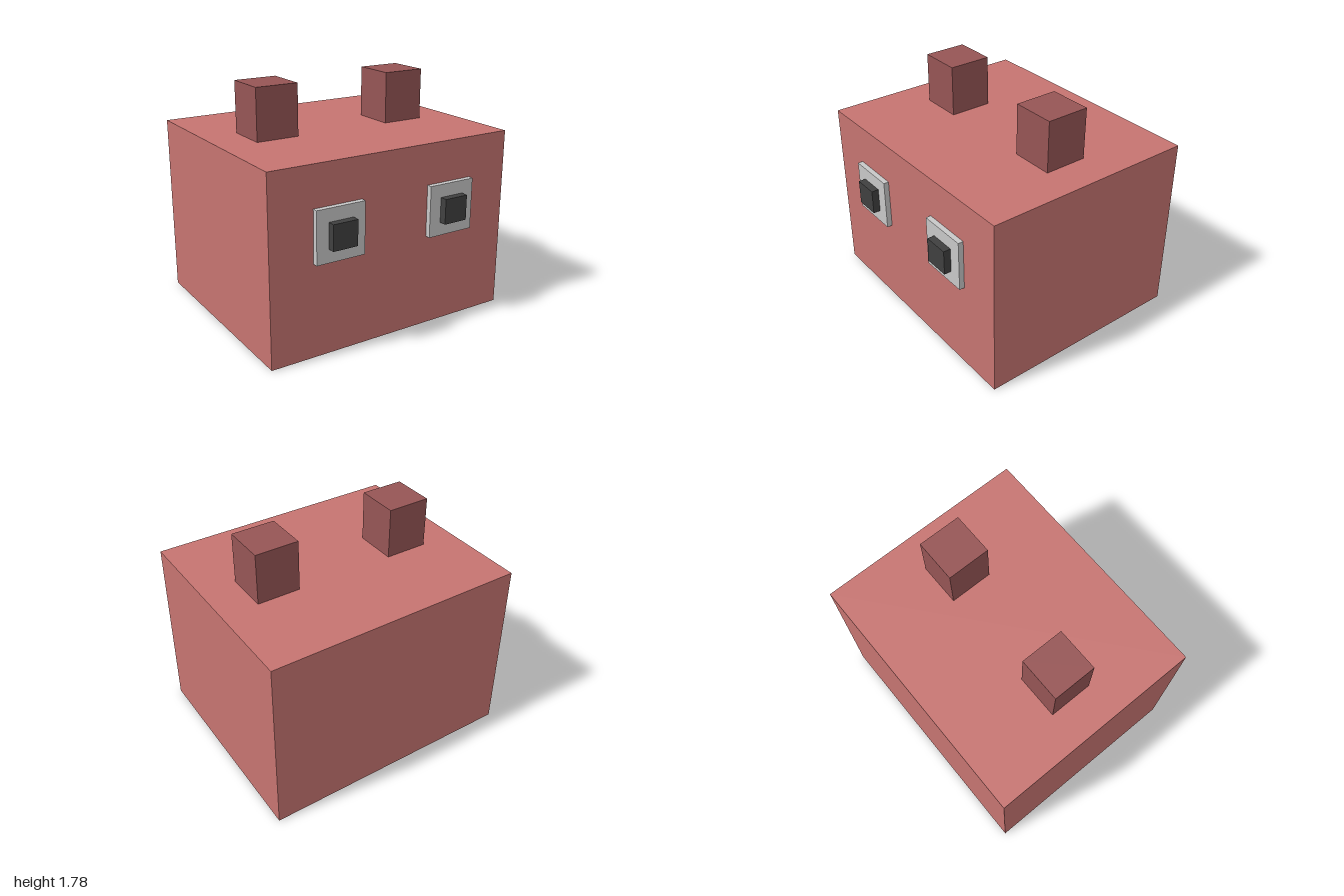
import * as THREE from 'three';

const material = (name, color) => {
  const m = new THREE.MeshStandardMaterial({ color });
  m.name = name;
  return m;
};

// Box given by its minimum and maximum on each axis
function box(name, mat, [x0, x1], [y0, y1], [z0, z1]) {
  const mesh = new THREE.Mesh(new THREE.BoxGeometry(x1 - x0, y1 - y0, z1 - z0), mat);
  mesh.position.set((x0 + x1) / 2, (y0 + y1) / 2, (z0 + z1) / 2);
  mesh.name = name;
  return mesh;
}

export function createModel() {
  const red = material('soft red', 0xc67471);
  const darkRed = material('dark red', 0x965555);
  const white = material('eye grey', 0xc8c8c8);
  const black = material('pupil charcoal', 0x404040);

  const model = new THREE.Group();
  model.name = 'blockCreature';
  model.add(box('body', red, [-1, 1], [0, 1.39], [-0.88, 0.785]));

  // Ears and eyes, mirrored on both sides
  for (const [side, s] of [['left', 1], ['right', -1]]) {
    const span = (center, width) => [s * center - width / 2, s * center + width / 2];
    model.add(
      box(`${side}Ear`, darkRed, span(0.553, 0.333), [1.39, 1.78], [-0.217, 0.116]),
      box(`${side}Eye`, white, span(0.473, 0.385), [0.697, 1.085], [0.785, 0.825]),
      box(`${side}Pupil`, black, span(0.473, 0.195), [0.797, 0.987], [0.825, 0.88]),
    );
  }
  return model;
}
